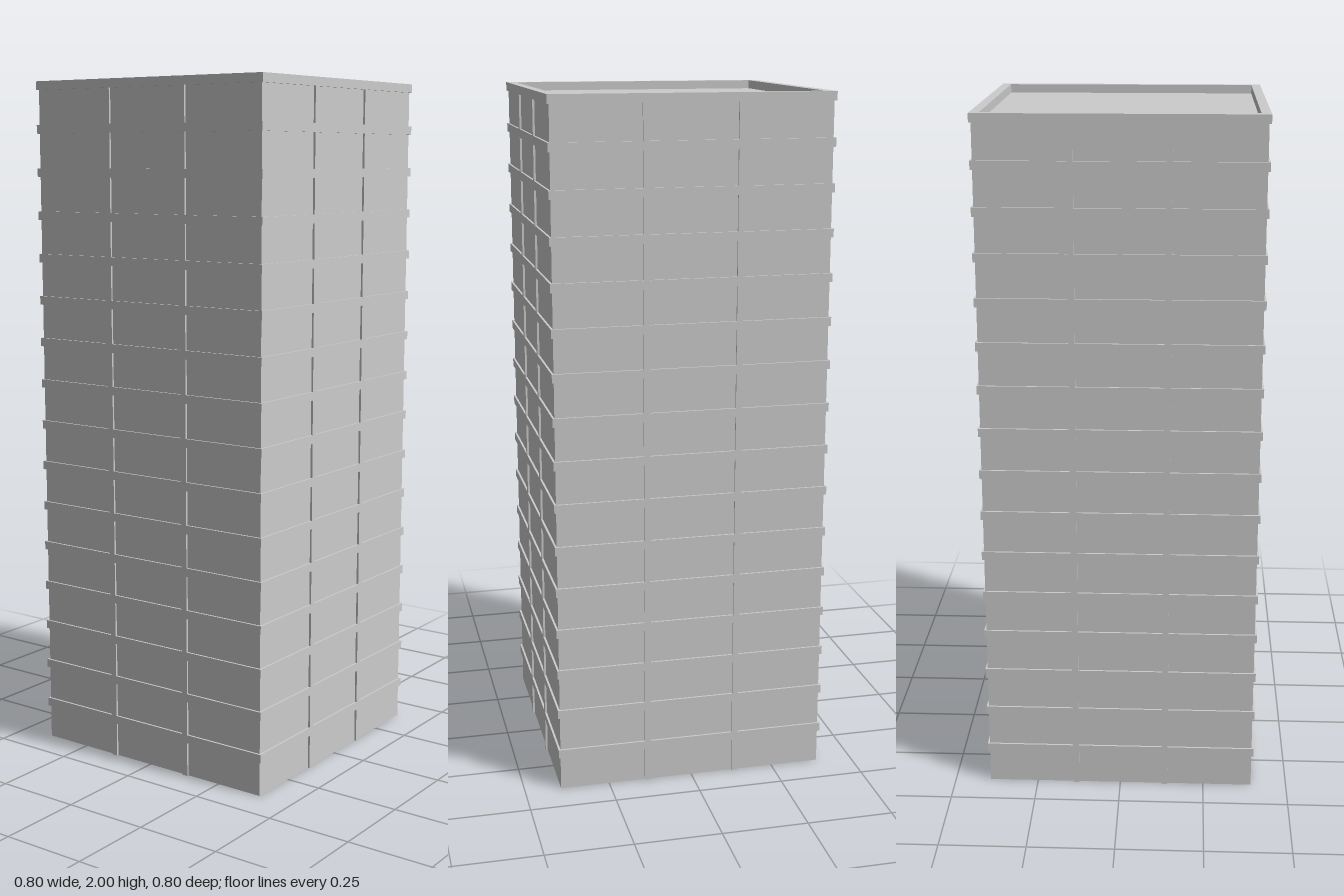
import * as THREE from 'three';

const HALF = 0.4;      // outer half width, at the ledges
const WALL = 0.394;    // half width of the plain wall
const FLOORS = 16;
const STOREY = 2 / FLOORS;
const LEDGE = 0.025;   // ledge height

export function createModel() {
  const group = new THREE.Group();
  const material = new THREE.MeshStandardMaterial({ color: 0xcccccc, flatShading: true });

  const add = (name, geometry, x, y, z, parent = group) => {
    const mesh = new THREE.Mesh(geometry, material);
    mesh.name = name;
    mesh.position.set(x, y, z);
    parent.add(mesh);
    return mesh;
  };

  // Tower body, its top is the sunken roof
  const roofY = 2 - LEDGE;
  add('towerBody', new THREE.BoxGeometry(2 * WALL, roofY, 2 * WALL), 0, roofY / 2, 0);

  // Square ring with an open middle, lying flat
  const square = (Type, h) => new Type([
    new THREE.Vector2(-h, -h), new THREE.Vector2(h, -h),
    new THREE.Vector2(h, h), new THREE.Vector2(-h, h),
  ]);
  const ring = (inner) => {
    const shape = square(THREE.Shape, HALF);
    shape.holes.push(square(THREE.Path, inner));
    return new THREE.ExtrudeGeometry(shape, { depth: LEDGE, bevelEnabled: false }).rotateX(-Math.PI / 2);
  };

  // Ledge at each floor line
  const ledgeGeometry = ring(WALL - 0.005);
  for (let i = 1; i < FLOORS; i++) add('floorLedge', ledgeGeometry, 0, i * STOREY - LEDGE, 0);

  // Parapet around the roof
  add('parapet', ring(0.373), 0, roofY, 0);

  // Two thin ribs per storey on each of the four walls
  const ribHeight = STOREY - LEDGE;
  const ribGeometry = new THREE.BoxGeometry(0.018, ribHeight, 0.016);
  for (let side = 0; side < 4; side++) {
    const wall = new THREE.Group();
    wall.name = 'wallRibs';
    wall.rotation.y = side * Math.PI / 2;
    for (let i = 0; i < FLOORS; i++) {
      for (const x of [-0.133, 0.133]) {
        add('rib', ribGeometry, x, i * STOREY + ribHeight / 2, HALF - 0.008, wall);
      }
    }
    group.add(wall);
  }
  return group;
}
